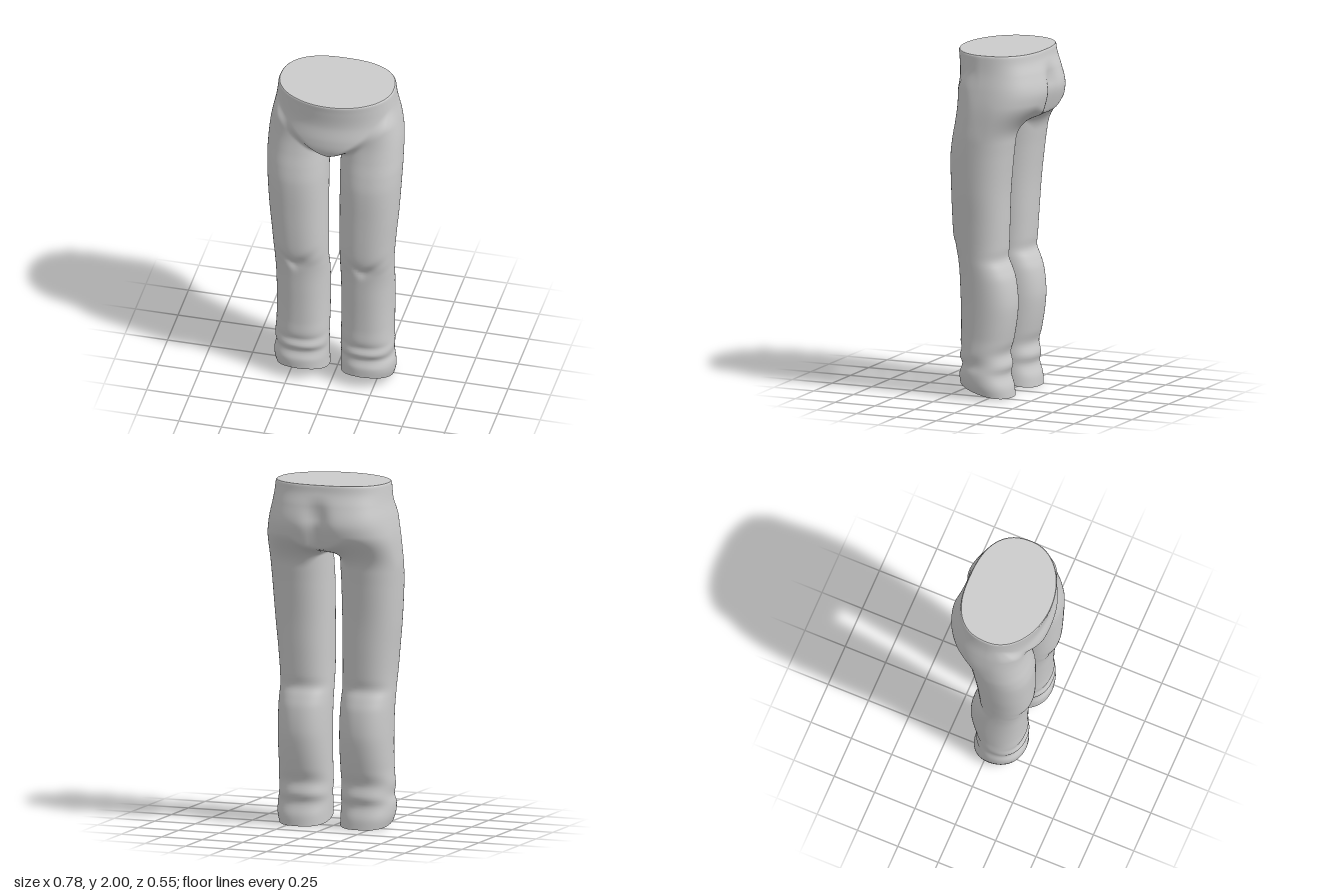
import * as THREE from 'three';
import { mergeVertices } from 'three/addons/utils/BufferGeometryUtils.js';

const { smoothstep, lerp, clamp } = THREE.MathUtils;
const N = 80;                 // points around each leg
const SEAM = 0.85 * Math.PI;  // ring angle that meets the centre seam
const bell = (d, w) => Math.exp(-((d / w) ** 2));

// Smooth curve through [y, value] pairs
function profile(pts) {
  const slope = i => {
    const a = pts[Math.max(i - 1, 0)], b = pts[Math.min(i + 1, pts.length - 1)];
    return (b[1] - a[1]) / (b[0] - a[0]);
  };
  return y => {
    let i = 0;
    while (i < pts.length - 2 && y > pts[i + 1][0]) i++;
    const [y0, v0] = pts[i], [y1, v1] = pts[i + 1], h = y1 - y0;
    const t = clamp((y - y0) / h, 0, 1), u = 1 - t;
    return v0 * (1 + 2 * t) * u * u + slope(i) * h * t * u * u
      + v1 * t * t * (3 - 2 * t) - slope(i + 1) * h * t * t * u;
  };
}

// Outer side, shared by leg and hips
const outer = profile([[0, .338], [.05, .35], [.12, .352], [.18, .342], [.25, .347], [.35, .341], [.8, .345], [1, .358],
  [1.2, .376], [1.5, .392], [1.6, .39], [1.7, .383], [1.8, .368], [1.9, .348], [2, .336]]);
// Leg front and back, with folds near the hem
const legFront = profile([[0, .203], [.08, .203], [.13, .19], [.16, .186], [.21, .204], [.27, .191], [.32, .199], [.4, .197],
  [.6, .202], [.8, .213], [.88, .235], [.96, .244], [1.2, .249], [1.4, .25], [1.5, .238], [1.6, .22], [1.7, .208], [1.8, .21], [2, .23]]);
const legBack = profile([[0, -.106], [.06, -.1], [.13, -.078], [.18, -.09], [.25, -.075], [.32, -.095], [.45, -.118], [.55, -.125],
  [.68, -.11], [.75, -.085], [.8, -.063], [.86, -.068], [1, -.075], [1.2, -.085], [1.4, -.105], [1.5, -.118], [1.6, -.13], [2, -.16]]);
// Hip front and back on the centre line
const hipFront = profile([[1.5, .17], [1.58, .2], [1.63, .245], [1.68, .27], [1.75, .273], [1.85, .26], [1.95, .268], [2, .275]]);
const hipBack = profile([[1.5, -.17], [1.6, -.235], [1.7, -.272], [1.78, -.285], [1.88, -.262], [1.95, -.238], [2, -.23]]);

function legPoint(a, y) {
  const xi = 0.038, xo = outer(y), zf = legFront(y), zb = legBack(y);
  const c = Math.cos(a), s = Math.sin(a), e = 2 / 2.25;
  const x = (xi + xo) / 2 + (xo - xi) / 2 * Math.sign(c) * Math.abs(c) ** e;
  let z = (zf + zb) / 2 + (zf - zb) / 2 * Math.sign(s) * Math.abs(s) ** e;
  if (s > 0) { // V-shaped crease under the knee
    const dx = Math.abs(x - 0.2);
    z -= 0.016 * s * bell(y - 0.82 - 0.7 * dx, 0.035) * bell(dx, 0.1);
  }
  return [x, z];
}

function hipPoint(a, y) {
  const front = a >= 0, e = front ? 1 : 0.8;
  const p = Math.min(Math.abs(a) / SEAM, 1) * Math.PI / 2;
  const x = outer(y) * Math.max(Math.cos(p), 0) ** e;
  const mid = 0.02, end = front ? hipFront(y) : hipBack(y);
  let z = mid + (end - mid) * Math.sin(p) ** e;
  if (!front) z += 0.035 * bell(x, 0.065) * smoothstep(y, 1.5, 1.65) * (1 - smoothstep(y, 1.8, 1.95)); // cleft
  return [x, lerp(z, 0, clamp((Math.abs(a) - SEAM) / (Math.PI - SEAM), 0, 1))];
}

// Leg below, hips above; the groin line rises towards the outside
function surfacePoint(a, y, inset) {
  const [lx, lz] = legPoint(a, y), [hx, hz] = hipPoint(a, y);
  const f = smoothstep(Math.sin(a), -0.4, 0.4), out = smoothstep(lx, 0.04, 0.14);
  const c = lerp(1.6, Math.min(1.6 + 0.95 * Math.max(lx - 0.045, 0), 1.86), f);
  const h = lerp(0.025, lerp(0.11, 0.06, f), out);
  const w = smoothstep(y, c - h, c + h);
  const x = lerp(lx, hx, w) * (1 - inset), z = lerp(lz, hz, w) * (1 - inset);
  // Slanted hem, higher in front
  const lift = 0.083 * clamp((z + 0.1) / 0.3, 0, 1) ** 1.4 * Math.max(0, 1 - y / 0.3);
  return [x, y + lift, z];
}

function geometry(positions, index) {
  const g = new THREE.BufferGeometry();
  g.setAttribute('position', new THREE.Float32BufferAttribute(positions, 3));
  g.setIndex(index);
  const welded = mergeVertices(g, 1e-4);
  welded.computeVertexNormals();
  return welded;
}

export function createModel() {
  // Heights of the rings, closer together around the hips, rounded at the waist
  const rows = [];
  for (let y = 0; y < 1.48; y += 0.016) rows.push([y, 0]);
  for (let y = 1.484; y < 1.985; y += 0.008) rows.push([y, 0]);
  rows.push([1.99, 0], [1.996, 0.004], [2, 0.016]);
  const rings = rows.map(([y, inset]) => Array.from({ length: N }, (_, j) =>
    surfacePoint(-Math.PI + 2 * Math.PI * j / N, y, inset)));

  const group = new THREE.Group();
  const material = new THREE.MeshStandardMaterial({ color: 0xcccccc });
  const add = (name, pos, index) => {
    const mesh = new THREE.Mesh(geometry(pos, index), material);
    mesh.name = name;
    group.add(mesh);
  };

  // Trouser surface, both halves welded along the centre seam
  const pos = [], index = [];
  for (const side of [1, -1]) {
    const base = pos.length / 3;
    rings.forEach(r => r.forEach(([x, y, z]) => pos.push(side * x, y, z)));
    const tri = (...t) => {
      if (t.every(k => rings[Math.floor(k / N)][k % N][0] < 1e-4)) return; // inside the seam
      if (side < 0) t.reverse();
      index.push(...t.map(k => base + k));
    };
    for (let i = 0; i < rings.length - 1; i++) for (let j = 0; j < N; j++) {
      const a = i * N + j, b = i * N + (j + 1) % N;
      tri(a, a + N, b);
      tri(b, a + N, b + N);
    }
  }
  add('trousers', pos, index);

  // Flat closing faces
  const cap = (name, ring, side, center, up) => {
    const p = [side * center[0], center[1], center[2]], idx = [];
    ring.forEach(([x, y, z]) => p.push(side * x, y, z));
    for (let j = 0; j < N; j++) {
      const a = 1 + j, b = 1 + (j + 1) % N;
      if (ring[j][0] < 1e-4 && ring[(j + 1) % N][0] < 1e-4) continue;
      idx.push(0, ...((side > 0) === up ? [b, a] : [a, b]));
    }
    add(name, p, idx);
  };
  for (const [side, label] of [[1, 'left'], [-1, 'right']]) {
    cap(label + 'WaistCap', rings[rings.length - 1], side, [0, 2, 0], true);
    cap(label + 'HemCap', rings[0], side, [0.19, 0.03, 0.05], false);
  }
  return group;
}
